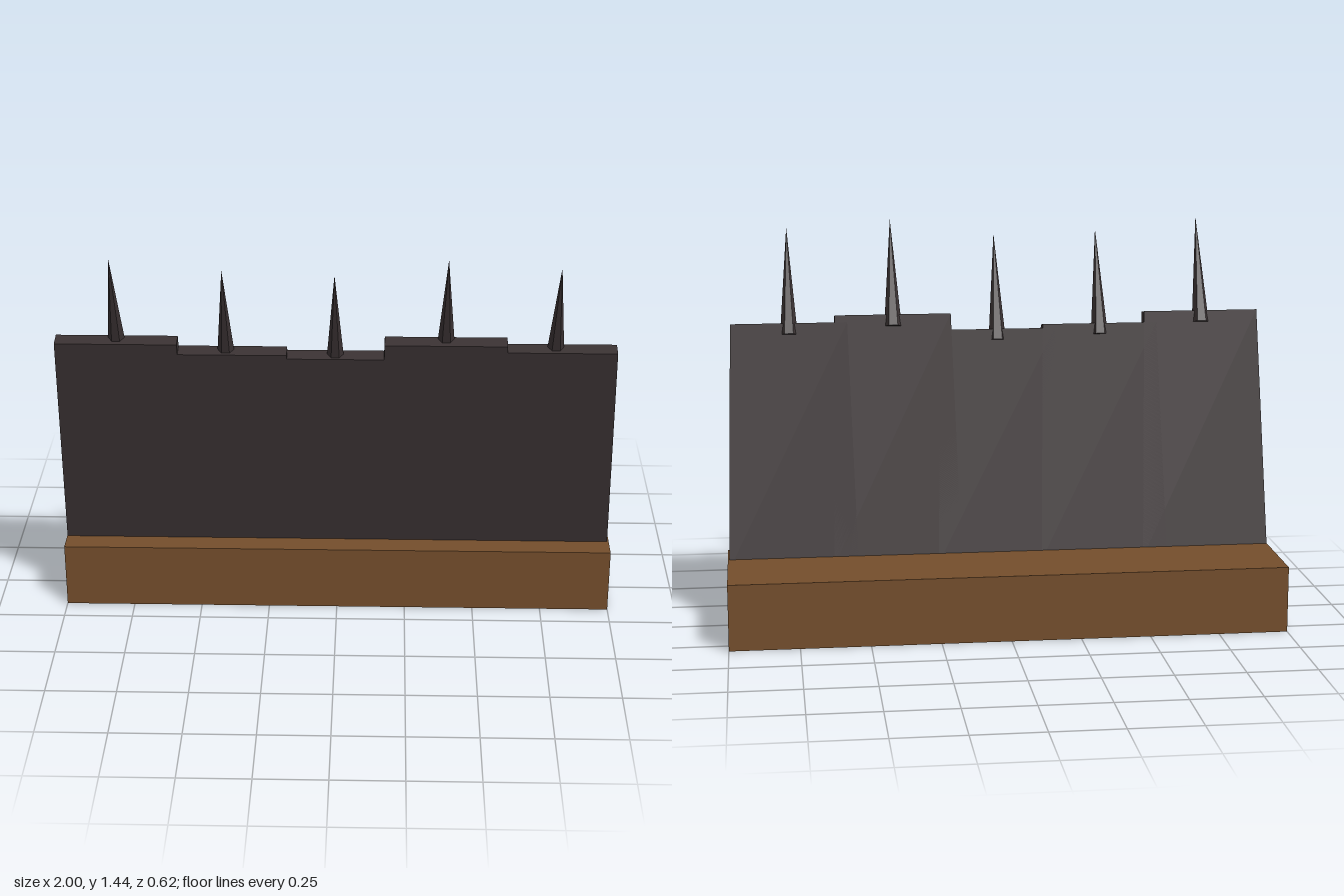
import * as THREE from 'three';

const wood = new THREE.MeshStandardMaterial({ name: 'brown wood', color: 0x744e2c, flatShading: true });
const iron = new THREE.MeshStandardMaterial({ name: 'dark iron', color: 0x3a3233, flatShading: true });

const LEAN = Math.atan(0.19);
const FOOT_Y = 0.2, FOOT_Z = 0.043;

// Tapered slab standing on its own origin, narrower at the top
function slabGeometry(height) {
  const geo = new THREE.BoxGeometry(1, height, 0.056);
  geo.translate(0, height / 2, 0);
  const p = geo.attributes.position;
  for (let i = 0; i < p.count; i++) {
    p.setX(i, p.getX(i) * (p.getY(i) > height / 2 ? 0.425 : 0.47));
  }
  geo.computeVertexNormals();
  return geo;
}

// Six-sided spike from a base centre to a tip
function spike(base, tip) {
  const axis = tip.clone().sub(base);
  const length = axis.length();
  const geo = new THREE.ConeGeometry(0.032, length, 6);
  geo.rotateY(Math.PI / 6);
  geo.translate(0, length / 2, 0);
  const mesh = new THREE.Mesh(geo, iron);
  mesh.position.copy(base);
  mesh.rotation.x = Math.atan2(axis.z, axis.y);
  return mesh;
}

export function createModel() {
  const model = new THREE.Group();
  model.name = 'spikedBarrier';

  // Wooden footing
  const base = new THREE.Mesh(new THREE.BoxGeometry(2, 0.24, 0.475), wood);
  base.name = 'base';
  base.position.set(0, 0.12, -0.075);
  model.add(base);

  // Overlapping leaning slabs: [centre x, top height]
  const slabs = [[-0.765, 1.1], [-0.385, 1.06], [-0.004, 1.046], [0.38, 1.105], [0.76, 1.08]];
  slabs.forEach(([x, top], i) => {
    const slab = new THREE.Mesh(slabGeometry((top - 0.005 - FOOT_Y) / Math.cos(LEAN)), iron);
    slab.name = `slab${i + 1}`;
    slab.position.set(x, FOOT_Y, FOOT_Z);
    slab.rotation.x = LEAN;
    model.add(slab);

    // Spike set into the top edge, leaning further forward
    const point = spike(new THREE.Vector3(x, top - 0.043, 0.184), new THREE.Vector3(x, top + 0.336, 0.308));
    point.name = `spike${i + 1}`;
    model.add(point);
  });

  return model;
}
